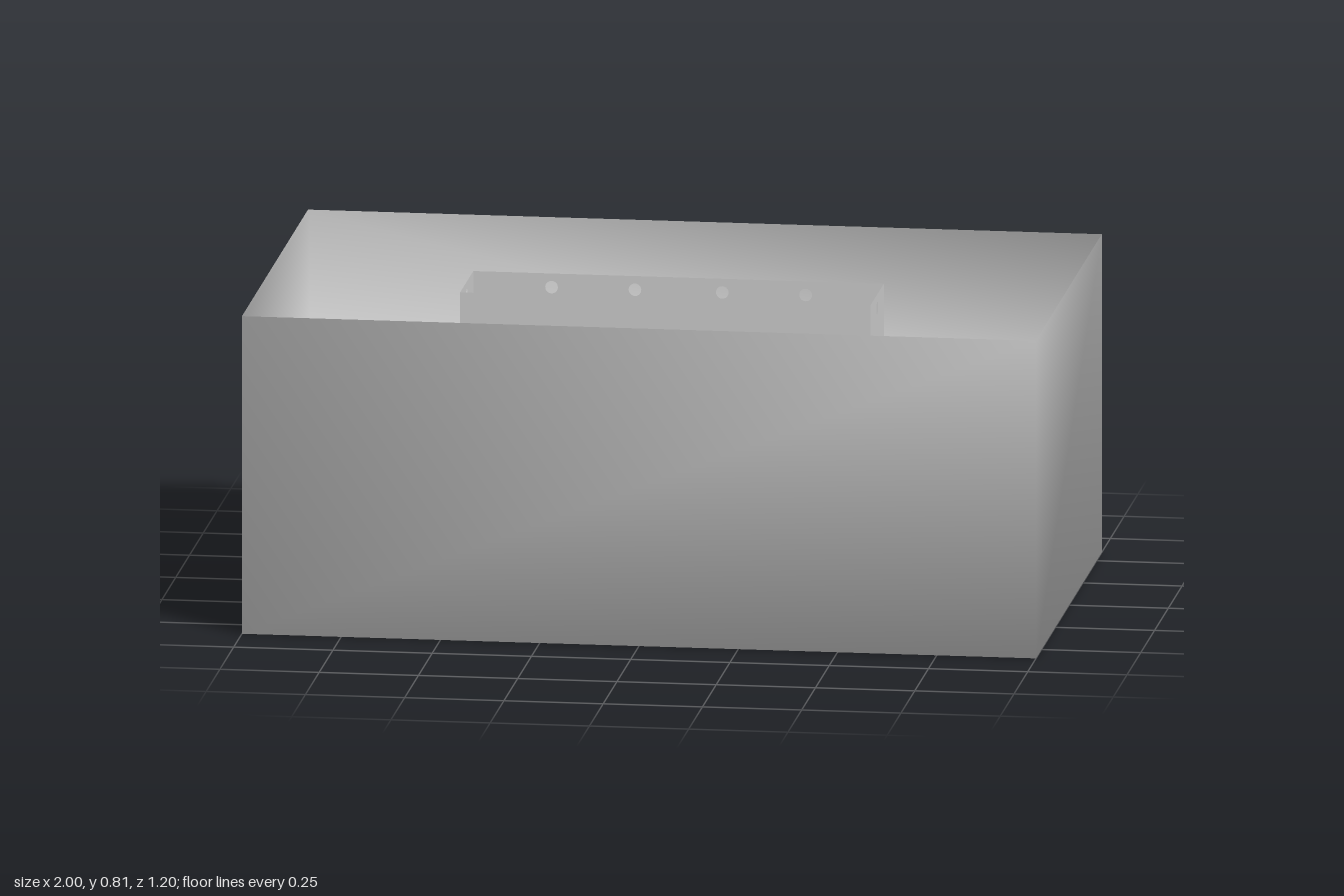
import * as THREE from 'three';
import { mergeVertices } from 'three/addons/utils/BufferGeometryUtils.js';

const material = new THREE.MeshStandardMaterial({ color: 0xcccccc, side: THREE.DoubleSide });

// Open-topped box with thin walls and normals shared across its corners
function tray(name, width, depth, bottom, top) {
  let g = new THREE.BoxGeometry(width, top - bottom, depth);
  const index = Array.from(g.index.array);
  index.splice(12, 6); // leave out the lid
  g.setIndex(index);
  g.deleteAttribute('uv');
  g.deleteAttribute('normal');
  g = mergeVertices(g);
  g.computeVertexNormals();
  g.translate(0, (bottom + top) / 2, 0);
  const mesh = new THREE.Mesh(g, material);
  mesh.name = name;
  return mesh;
}

function rectangle(x0, y0, x1, y1, Type = THREE.Path) {
  return new Type([[x0, y0], [x1, y0], [x1, y1], [x0, y1]].map(p => new THREE.Vector2(...p)));
}

// Thin wall of the inner building, with openings cut through it
function wall(name, halfWidth, bottom, top, holes) {
  const shape = rectangle(-halfWidth, bottom, halfWidth, top, THREE.Shape);
  shape.holes.push(...holes);
  const mesh = new THREE.Mesh(new THREE.ShapeGeometry(shape, 10), material);
  mesh.name = name;
  return mesh;
}

const porthole = x => new THREE.Path().absellipse(x, 0.745, 0.016, 0.016, 0, Math.PI * 2);
const window_ = x => rectangle(x - 0.026, 0.575, x + 0.026, 0.63);

function archway(x) {
  const p = new THREE.Path();
  p.moveTo(x - 0.045, 0.37);
  p.lineTo(x + 0.045, 0.37);
  p.lineTo(x + 0.045, 0.48);
  p.absarc(x, 0.48, 0.045, 0, Math.PI);
  p.closePath();
  return p;
}

export function createModel() {
  const model = new THREE.Group();
  const floorY = 0.35, ledgeY = 0.565, topY = 0.78;

  // Outer enclosure and the raised floor tray nested in it
  model.add(tray('outerEnclosure', 2, 1.2, 0, 0.813));
  model.add(tray('innerFloorTray', 1.992, 1.192, floorY, 0.808));

  // Roofless building: upper walls with windows over a slightly wider plinth
  const building = new THREE.Group();
  building.name = 'innerBuilding';
  const halfX = 0.517, halfZ = 0.12, step = 0.006;
  for (let i = 0; i < 4; i++) {
    const isLong = i % 2 === 0;
    const half = isLong ? halfX : halfZ;
    const offset = isLong ? halfZ : halfX;
    const holes = isLong
      ? [-0.32, -0.11, 0.11, 0.32].map(porthole).concat([-0.41, -0.205, 0, 0.205, 0.41].map(window_))
      : [porthole(0), window_(0)];
    const side = new THREE.Group();
    side.name = isLong ? 'longSide' : 'endSide';
    const upper = wall('upperWall', half, ledgeY, topY, holes);
    upper.position.z = offset;
    const lower = wall('plinthWall', half + step, floorY, ledgeY, isLong ? [] : [archway(0)]);
    lower.position.z = offset + step;
    side.add(upper, lower);
    side.rotation.y = i * Math.PI / 2;
    building.add(side);
  }
  model.add(building);
  return model;
}
